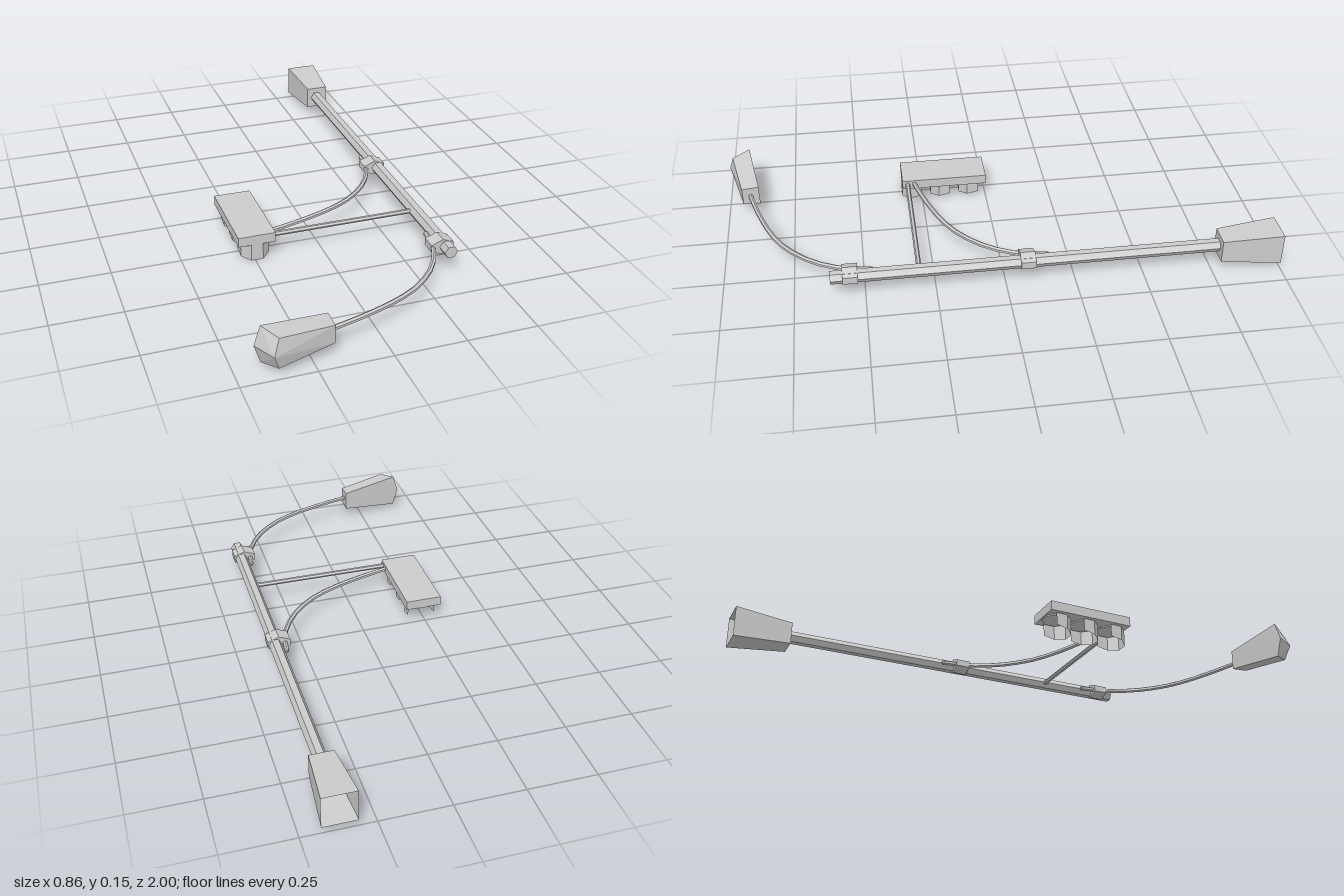
import * as THREE from 'three';
import { ConvexGeometry } from 'three/addons/geometries/ConvexGeometry.js';

const mat = new THREE.MeshStandardMaterial({ color: 0xcccccc, flatShading: true, side: THREE.DoubleSide });
const CX = 0.368, CY = 0.082; // pole axis, which runs along z

export function createModel() {
  const root = new THREE.Group();
  const add = (name, geometry, x = 0, y = 0, z = 0, parent = root) => {
    const mesh = new THREE.Mesh(geometry, mat);
    mesh.name = name;
    mesh.position.set(x, y, z);
    parent.add(mesh);
    return mesh;
  };

  // Hexagonal pole
  add('pole', new THREE.CylinderGeometry(0.024, 0.024, 1.41, 6, 1, false, Math.PI / 2).rotateX(Math.PI / 2), CX, CY, -0.085);

  // Flared square base, hollow from behind
  const base = new THREE.Group();
  base.name = 'base';
  base.position.set(0.37, CY, -0.89);
  root.add(base);
  const d = Math.SQRT2;
  add('baseSkirt', new THREE.CylinderGeometry(0.043 * d, 0.06 * d, 0.22, 4, 1, true, Math.PI / 4).rotateX(Math.PI / 2), 0, 0, 0, base);
  add('baseTop', new THREE.PlaneGeometry(0.086, 0.086), 0, 0, 0.11, base);

  // Two curved arms, each held by a faceted clamp
  const arc = [[-0.19, 0.284], [-0.11, 0.264], [-0.03, 0.24], [0.077, 0.2], [0.16, 0.155],
    [0.245, 0.078], [0.3, -0.005], [0.328, -0.085], [0.337, -0.155]];
  const clampShape = new THREE.Shape([[0.312, 0.07], [0.355, 0.054], [0.396, 0.069], [0.396, 0.096],
    [0.355, 0.112], [0.312, 0.095]].map(p => new THREE.Vector2(...p)));
  for (const [side, dz] of [['signal', 0], ['lamp', 0.63]]) {
    const curve = new THREE.CatmullRomCurve3(arc.map(([x, z]) => new THREE.Vector3(x, CY, z)));
    const arm = new THREE.Group();
    arm.name = side + 'Arm';
    arm.position.z = dz;
    root.add(arm);
    add(side + 'CurvedTube', new THREE.TubeGeometry(curve, 12, 0.009, 6), 0, 0, 0, arm);
    for (const t of [0, 1]) {
      const p = curve.getPoint(t);
      add(side + 'TubeEnd', new THREE.SphereGeometry(0.009, 6, 4), p.x, p.y, p.z, arm);
    }
    add(side + 'Clamp', new THREE.ExtrudeGeometry(clampShape, { depth: 0.054, bevelEnabled: false }), 0, 0, -0.107, arm);
  }

  // Straight brace between the pole and the signal panel
  add('brace', new THREE.CylinderGeometry(0.009, 0.009, 0.56, 6).rotateZ(Math.PI / 2), 0.08, CY, 0.307);

  // Signal panel with three hooded lights
  add('signalPanel', new THREE.BoxGeometry(0.137, 0.036, 0.327), -0.242, 0.08, 0.163);
  for (let i = 0; i < 3; i++) {
    const light = new THREE.Group();
    light.name = 'signalLight' + (i + 1);
    light.position.set(-0.242, 0, 0.275 - i * 0.1125);
    root.add(light);
    add('lens', new THREE.CylinderGeometry(0.05, 0.05, 0.006, 8, 1, false, Math.PI / 8), 0, 0.06, 0, light);
    // five sides of an octagon, with the lower rim rising toward the opening
    const hood = new THREE.CylinderGeometry(0.0565, 0.0565, 0.064, 5, 1, true, -Math.PI * 0.625, Math.PI * 1.25);
    hood.translate(0, 0.032, 0);
    const pos = hood.attributes.position;
    for (let k = 0; k < pos.count; k++) {
      if (pos.getY(k) < 0.01) pos.setY(k, (0.052 - pos.getZ(k)) * 0.21);
    }
    add('hood', hood, 0, 0, 0, light);
  }

  // Street lamp head: narrow neck end, wide pointed outer end
  const headPoints = [new THREE.Vector3(-0.432, CY, 0.92), new THREE.Vector3(-0.39, CY, 0.999)];
  for (const s of [-1, 1]) {
    for (const [x, h, z] of [[-0.178, 0.038, 0.878], [-0.176, 0.033, 0.942], [-0.41, 0.068, 0.917], [-0.37, 0.056, 0.982]]) {
      headPoints.push(new THREE.Vector3(x, CY + s * h, z));
    }
  }
  add('lampHead', new ConvexGeometry(headPoints));

  return root;
}
